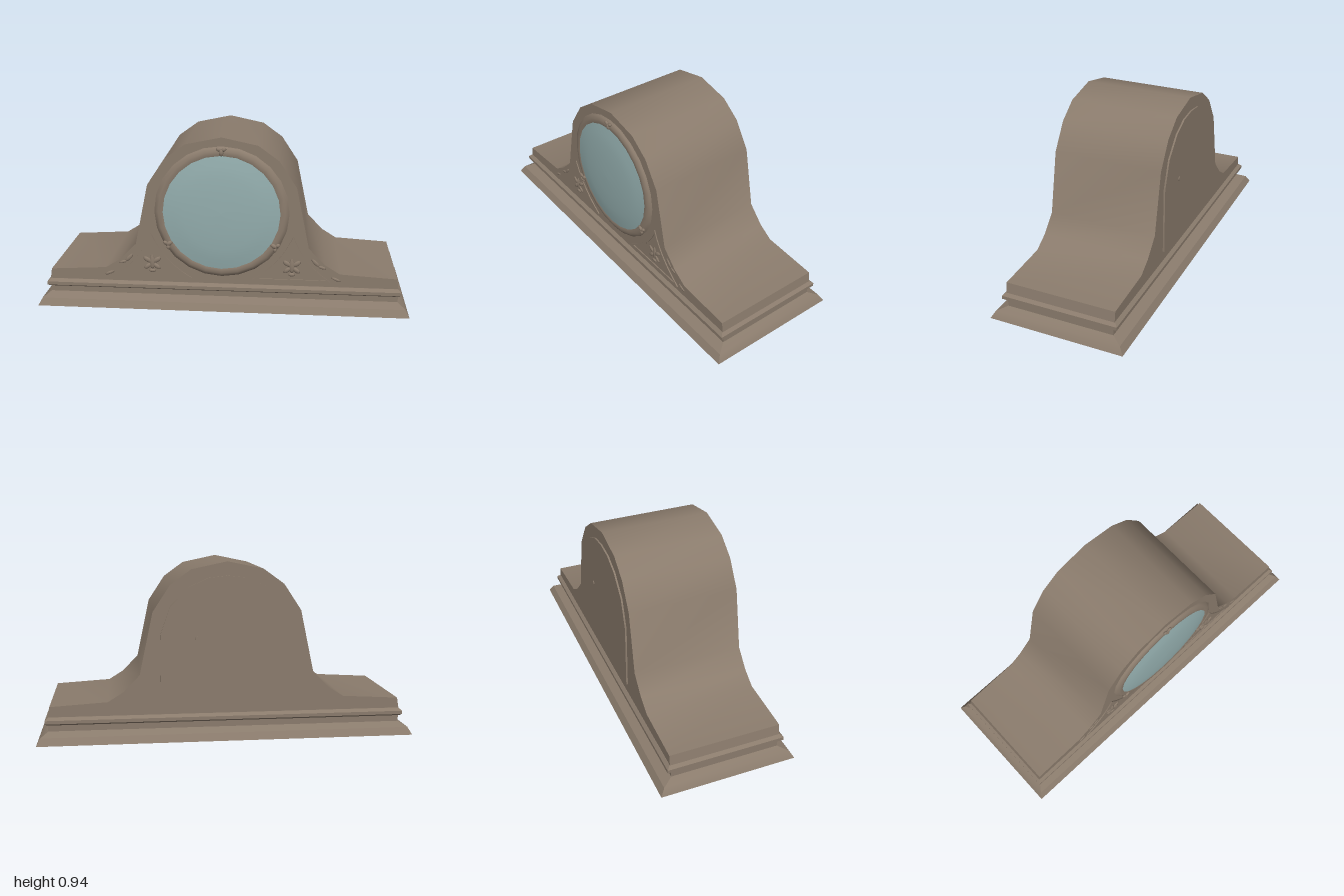
import * as THREE from 'three';
import { toCreasedNormals } from 'three/addons/utils/BufferGeometryUtils.js';

const wood = new THREE.MeshStandardMaterial({ color: 0x8a7b6c });
wood.name = 'brown wood';
const glass = new THREE.MeshStandardMaterial({ color: 0x93adad });
glass.name = 'pale blue glass';

const FRONT = 0.3;

function add(parent, name, geometry, material = wood) {
  const mesh = new THREE.Mesh(geometry, material);
  mesh.name = name;
  parent.add(mesh);
  return mesh;
}

// Stack of rectangles [halfX, halfZ, y], joined from bottom to top and capped
function rectLoft(layers) {
  const corners = [[1, 1], [1, -1], [-1, -1], [-1, 1]];
  const pos = [];
  const point = (l, c) => [l[0] * corners[c][0], l[2], l[1] * corners[c][1]];
  const quad = (a, b, c, d) => pos.push(...a, ...b, ...c, ...a, ...c, ...d);
  for (let i = 0; i < layers.length - 1; i++) {
    for (let c = 0; c < 4; c++) {
      const n = (c + 1) % 4;
      quad(point(layers[i], c), point(layers[i], n), point(layers[i + 1], n), point(layers[i + 1], c));
    }
  }
  const low = layers[0], high = layers[layers.length - 1];
  quad(...[0, 1, 2, 3].map(c => point(high, c)));
  quad(...[3, 2, 1, 0].map(c => point(low, c)));
  const g = new THREE.BufferGeometry();
  g.setAttribute('position', new THREE.Float32BufferAttribute(pos, 3));
  return toCreasedNormals(g, 0.6);
}

// Symmetrical outline from its right half, listed from bottom to the top centre
function mirroredShape(half) {
  const left = half.slice(0, -1).reverse().map(([x, y]) => [-x, y]);
  return new THREE.Shape([...half, ...left].map(p => new THREE.Vector2(...p)));
}

function extrude(shape, depth, z) {
  const g = new THREE.ExtrudeGeometry(shape, { depth, bevelEnabled: false, curveSegments: 6 });
  g.translate(0, 0, z);
  return toCreasedNormals(g, 0.8);
}

// Small flattened carved lobe
function lobe(parent, x, y, z, length, width, angle, depth = 0.007) {
  const m = add(parent, 'carvedLeaf', new THREE.SphereGeometry(1, 8, 6));
  m.scale.set(length, width, depth);
  m.rotation.z = angle;
  m.position.set(x, y, z);
}

// Triangular moulding with hollow sides, holding a carved leaf
function spandrel(side) {
  const group = new THREE.Group();
  group.name = side > 0 ? 'leftSpandrel' : 'rightSpandrel';
  const outline = (scale) => {
    const cx = 0.38, cy = 0.235;
    const p = (x, y) => [side * (cx + (x - cx) * scale), cy + (y - cy) * scale];
    const s = new THREE.Path();
    s.moveTo(...p(0.16, 0.165));
    s.lineTo(...p(0.58, 0.165));
    s.quadraticCurveTo(...p(0.43, 0.27), ...p(0.38, 0.415));
    s.quadraticCurveTo(...p(0.31, 0.25), ...p(0.16, 0.165));
    return s;
  };
  const frame = new THREE.Shape(outline(1).getPoints(6));
  frame.holes.push(new THREE.Path(outline(0.88).getPoints(6)));
  add(group, 'triangleMoulding', extrude(frame, 0.006, FRONT));
  const x = side * 0.375;
  lobe(group, x, 0.25, FRONT, 0.042, 0.014, Math.PI / 2);
  for (const s of [-1, 1]) {
    lobe(group, x + s * 0.026, 0.262, FRONT, 0.026, 0.013, s * 0.6);
    lobe(group, x + s * 0.024, 0.225, FRONT, 0.024, 0.012, -s * 0.7);
  }
  lobe(group, x, 0.2, FRONT, 0.018, 0.01, 0);
  // Sprigs on the sloping shoulder
  lobe(group, side * 0.5, 0.27, FRONT, 0.03, 0.01, -side * 0.8, 0.005);
  lobe(group, side * 0.535, 0.245, FRONT, 0.022, 0.008, -side * 0.3, 0.005);
  lobe(group, side * 0.61, 0.18, FRONT, 0.028, 0.008, -side * 0.4, 0.005);
  return group;
}

export function createModel() {
  const clock = new THREE.Group();
  clock.name = 'mantelClock';

  // Stepped base and rounded bead
  add(clock, 'base', rectLoft([
    [1, 0.368, 0], [0.98, 0.345, 0.038], [0.942, 0.293, 0.06], [0.942, 0.293, 0.1],
  ]));
  add(clock, 'beadMoulding', rectLoft([
    [0.945, 0.305, 0.095], [0.957, 0.318, 0.104], [0.957, 0.318, 0.122], [0.94, 0.302, 0.137],
  ]));

  // Humped case
  add(clock, 'case', extrude(mirroredShape([
    [0.942, 0.13], [0.932, 0.192], [0.63, 0.21], [0.55, 0.26], [0.462, 0.35],
    [0.392, 0.68], [0.3, 0.82], [0.19, 0.9], [0, 0.94],
  ]), FRONT * 2, -FRONT));

  // Round bezel and domed glass
  const dial = new THREE.Group();
  dial.name = 'dial';
  dial.position.set(0, 0.537, FRONT);
  clock.add(dial);
  const lathe = (points) =>
    new THREE.LatheGeometry(points.map(p => new THREE.Vector2(...p)), 24).rotateX(Math.PI / 2);
  add(dial, 'bezel', toCreasedNormals(
    lathe([[0.357, 0], [0.352, 0.008], [0.335, 0.017], [0.315, 0.018], [0.305, 0.014]]), 0.7));
  add(dial, 'glassDome', lathe(
    [[0.315, 0.015], [0.26, 0.025], [0.2, 0.033], [0.1, 0.039], [0, 0.04]]), glass);

  // Carved clips around the bezel
  for (const angle of [Math.PI / 2, -2.585, -0.557]) {
    const clip = new THREE.Group();
    clip.name = 'bezelClip';
    clip.position.set(0.335 * Math.cos(angle), 0.335 * Math.sin(angle), 0.018);
    clip.rotation.z = angle - Math.PI / 2;
    lobe(clip, 0, -0.008, 0, 0.02, 0.012, Math.PI / 2, 0.01);
    lobe(clip, -0.014, 0.008, 0, 0.014, 0.01, -0.5, 0.008);
    lobe(clip, 0.014, 0.008, 0, 0.014, 0.01, 0.5, 0.008);
    dial.add(clip);
  }

  for (const side of [-1, 1]) clock.add(spandrel(side));

  // Arched back door with a small knob
  add(clock, 'backDoor', extrude(mirroredShape([
    [0.353, 0.195], [0.353, 0.56], [0.3, 0.71], [0.2, 0.81], [0.1, 0.855], [0, 0.866],
  ]), 0.009, -FRONT - 0.009));
  const knob = add(clock, 'doorKnob', new THREE.CylinderGeometry(0.012, 0.012, 0.006, 10));
  knob.rotation.x = Math.PI / 2;
  knob.position.set(0.16, 0.54, -FRONT - 0.01);

  return clock;
}
